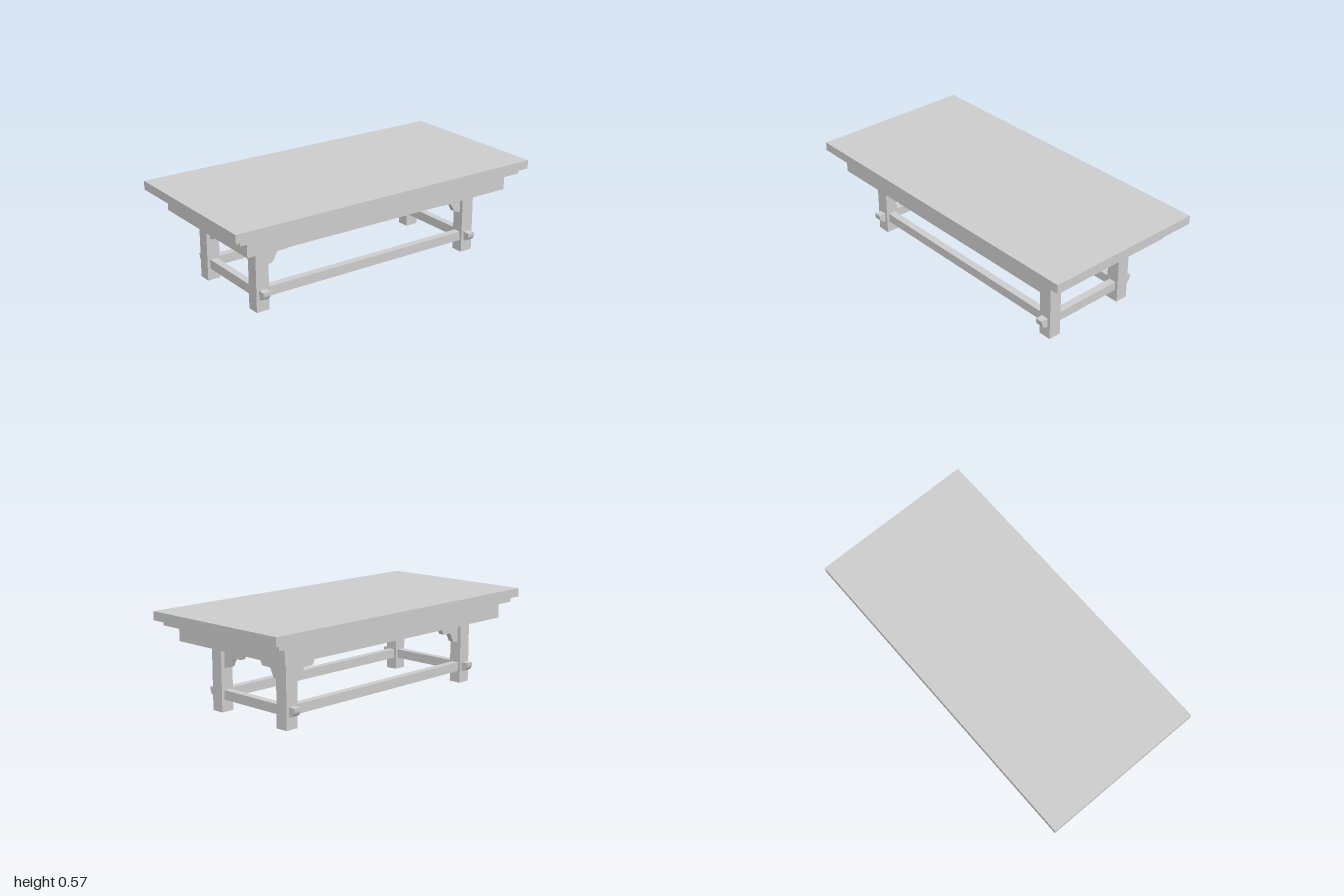
import * as THREE from 'three';

const material = new THREE.MeshStandardMaterial({ color: 0xcccccc, flatShading: true });

const LEG_X = 0.7225, LEG_Z = 0.261; // leg centres
const LEG_W = 0.08, LEG_D = 0.077;
const APRON_Y = 0.395;

function add(parent, name, geometry, x = 0, y = 0, z = 0) {
  const mesh = new THREE.Mesh(geometry, material);
  mesh.name = name;
  mesh.position.set(x, y, z);
  parent.add(mesh);
  return mesh;
}

// Box given by its width, depth and bottom / top heights
function slab(parent, name, w, d, y0, y1, x = 0, z = 0) {
  return add(parent, name, new THREE.BoxGeometry(w, y1 - y0, d), x, (y0 + y1) / 2, z);
}

function extrude(shape, depth) {
  const g = new THREE.ExtrudeGeometry(shape, { depth, bevelEnabled: false, curveSegments: 8 });
  return g.translate(0, 0, -depth / 2);
}

// Stepped corner bracket: leg at u = 0, growing along +u, hanging from the apron
function bracketGeometry() {
  const points = [
    [0, 0.25], [0.036, 0.26], [0.046, 0.265], [0.06, 0.295], [0.07, 0.312],
    [0.078, 0.316], [0.132, 0.317], [0.139, 0.322], [0.158, 0.363], [0.158, 0.38], [0, 0.38],
  ];
  return extrude(new THREE.Shape(points.map(([u, y]) => new THREE.Vector2(u, y))), 0.032);
}

// Side stretcher running through the legs, with rounded undersides at both ends
function throughStretcherGeometry() {
  const end = 0.343, start = 0.3, top = 0.126, bottom = 0.071;
  const s = new THREE.Shape();
  s.moveTo(-start, bottom);
  s.lineTo(start, bottom);
  s.bezierCurveTo(start + 0.025, bottom + 0.004, end, bottom + 0.018, end, top - 0.012);
  s.lineTo(end, top);
  s.lineTo(-end, top);
  s.lineTo(-end, top - 0.012);
  s.bezierCurveTo(-end, bottom + 0.018, -start - 0.025, bottom + 0.004, -start, bottom);
  return extrude(s, 0.045).rotateY(Math.PI / 2);
}

export function createModel() {
  const table = new THREE.Group();
  table.name = 'lowTable';

  // Stacked top
  slab(table, 'tableTop', 2, 0.99, 0.52, 0.571);
  slab(table, 'topMoulding', 1.914, 0.931, 0.489, 0.52, -0.002);
  slab(table, 'apron', 1.775, 0.852, APRON_Y, 0.489, -0.0075);

  // Base frame
  const base = new THREE.Group();
  base.name = 'base';
  base.position.x = -0.0075;
  table.add(base);

  const spanX = 2 * LEG_X - LEG_W, spanZ = 2 * LEG_Z - LEG_D;
  const bracket = bracketGeometry();
  const through = throughStretcherGeometry();

  for (const sx of [-1, 1]) {
    for (const sz of [-1, 1]) {
      slab(base, 'leg', LEG_W, LEG_D, 0, APRON_Y, sx * LEG_X, sz * LEG_Z);

      // Brackets along the length and the width, pointing inwards
      const long = add(base, 'longBracket', bracket, sx * spanX / 2, 0, sz * LEG_Z);
      long.rotation.y = sx > 0 ? Math.PI : 0;
      const short = add(base, 'shortBracket', bracket, sx * LEG_X, 0, sz * spanZ / 2);
      short.rotation.y = sz * Math.PI / 2;
    }
    // Side rail and through stretcher
    slab(base, 'sideRail', 0.034, spanZ, 0.362, APRON_Y, sx * LEG_X);
    add(base, 'sideStretcher', through, sx * LEG_X);
  }

  // Long rails and stretchers
  for (const sz of [-1, 1]) {
    slab(base, 'longRail', spanX, 0.034, 0.362, APRON_Y, 0, sz * LEG_Z);
    slab(base, 'longStretcher', spanX, 0.045, 0.071, 0.126, 0, sz * LEG_Z);
  }

  return table;
}
